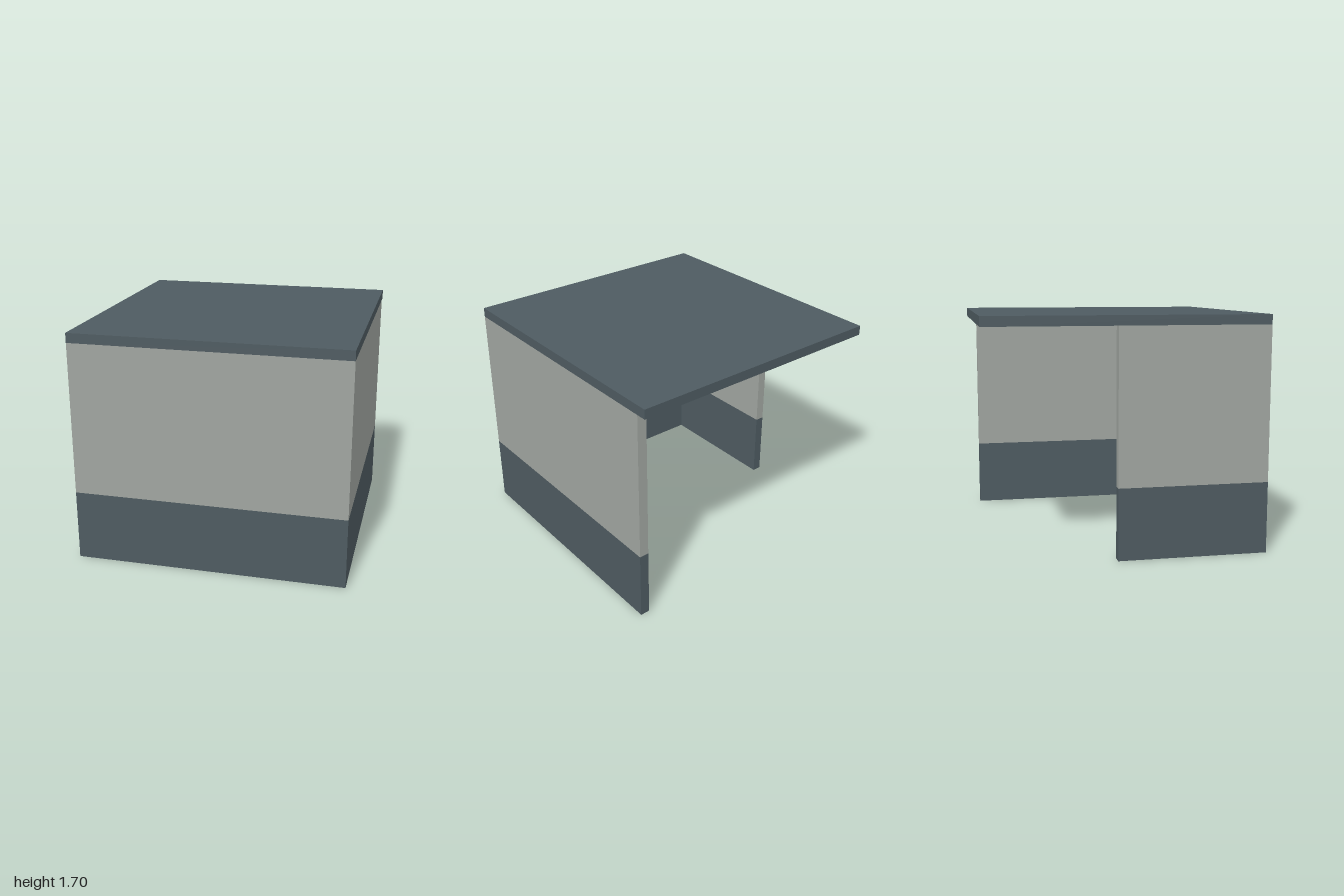
import * as THREE from 'three';

const material = (name, color) => {
  const m = new THREE.MeshStandardMaterial({ color });
  m.name = name;
  return m;
};

export function createModel() {
  const model = new THREE.Group();
  model.name = 'openBackBooth';

  const slate = material('slateBlue', 0x4e5b61);
  const grey = material('wallGrey', 0xa0a5a0);
  const lampWhite = material('lampGrey', 0xb4b6b2);

  const X = 0.983, T = 0.07;          // half width, wall thickness
  const DADO = 0.515, EAVE = 1.625, TOP = 1.695;
  const LONG_END = -0.925, SHORT_END = -0.08; // back ends of the side walls

  const add = (name, geometry, mat, x = 0, y = 0, z = 0, parent = model) => {
    const mesh = new THREE.Mesh(geometry, mat);
    mesh.name = name;
    mesh.position.set(x, y, z);
    parent.add(mesh);
    return mesh;
  };

  // Footprint of the three joined walls: long left side, front, short right side
  const footprint = new THREE.Shape([
    [-X, 1], [X, 1], [X, LONG_END], [X - T, LONG_END],
    [X - T, 1 - T], [-X + T, 1 - T], [-X + T, SHORT_END], [-X, SHORT_END],
  ].map(([x, z]) => new THREE.Vector2(x, -z)));

  const wallBand = (name, mat, from, to) => {
    const geometry = new THREE.ExtrudeGeometry(footprint, { depth: to - from, bevelEnabled: false });
    geometry.rotateX(-Math.PI / 2);
    add(name, geometry, mat, 0, from);
  };
  wallBand('lowerWalls', slate, 0, DADO);
  wallBand('upperWalls', grey, DADO, EAVE);

  // Flat roof slab
  add('roof', new THREE.BoxGeometry(2 * X, TOP - EAVE, 2), slate, 0, (TOP + EAVE) / 2);

  // Ceiling lamp: housing with two tubes
  const lamp = new THREE.Group();
  lamp.name = 'ceilingLamp';
  lamp.position.set(0, EAVE, 0.445);
  model.add(lamp);
  add('lampHousing', new THREE.BoxGeometry(0.77, 0.03, 0.12), grey, 0, -0.015, 0, lamp);
  for (const side of [-1, 1]) {
    const tube = new THREE.CylinderGeometry(0.016, 0.016, 0.74, 12).rotateZ(Math.PI / 2);
    add('lampTube', tube, lampWhite, 0, -0.044, side * 0.032, lamp);
  }

  return model;
}
